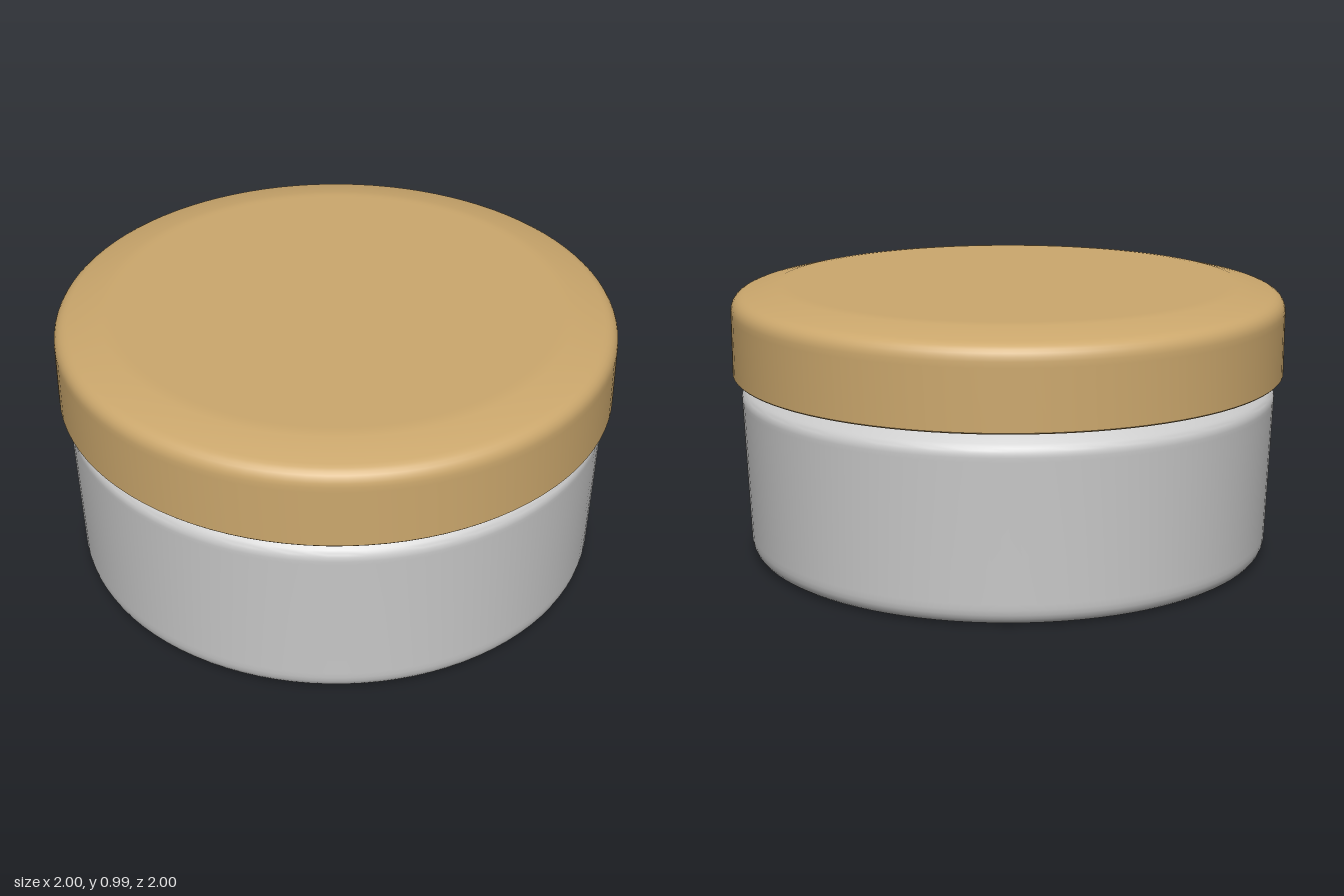
import * as THREE from 'three';
import { toCreasedNormals } from 'three/addons/utils/BufferGeometryUtils.js';

const SEGMENTS = 96;

// Turn a profile (listed from the bottom axis, outwards and up) into a smooth mesh with sharp rims.
function turned(name, path, color) {
  const geometry = toCreasedNormals(new THREE.LatheGeometry(path.getPoints(6), SEGMENTS), 0.7);
  const mesh = new THREE.Mesh(geometry, new THREE.MeshStandardMaterial({ color }));
  mesh.name = name;
  return mesh;
}

export function createModel() {
  const model = new THREE.Group();
  model.name = 'lidded jar';

  // Jar: rounded base, slightly flared wall, soft shoulder and a neck reaching into the lid
  const jar = new THREE.Path();
  jar.moveTo(0, 0);
  jar.lineTo(0.87, 0);
  jar.lineTo(0.89, 0);
  jar.quadraticCurveTo(0.945, 0.003, 0.95, 0.06);
  jar.lineTo(0.951, 0.08);
  jar.lineTo(0.969, 0.565);
  jar.lineTo(0.97, 0.58);
  jar.quadraticCurveTo(0.97, 0.605, 0.95, 0.622);
  jar.lineTo(0.9, 0.663);
  jar.lineTo(0.86, 0.685);
  jar.lineTo(0.86, 0.9);
  jar.lineTo(0, 0.9);
  model.add(turned('jar', jar, 0xcccccc));

  // Lid: hollow cap with a straight skirt, rounded edge and shallow bevel up to a flat top
  const lid = new THREE.Path();
  lid.moveTo(0, 0.92);
  lid.lineTo(0.88, 0.92);
  lid.lineTo(0.88, 0.665);
  lid.lineTo(0.995, 0.665);
  lid.lineTo(1, 0.67);
  lid.lineTo(1, 0.88);
  lid.lineTo(1, 0.9);
  lid.quadraticCurveTo(0.997, 0.945, 0.95, 0.957);
  lid.lineTo(0.84, 0.983);
  lid.lineTo(0.81, 0.986);
  lid.lineTo(0.79, 0.986);
  lid.lineTo(0, 0.986);
  model.add(turned('lid', lid, 0xcca86d));

  return model;
}
